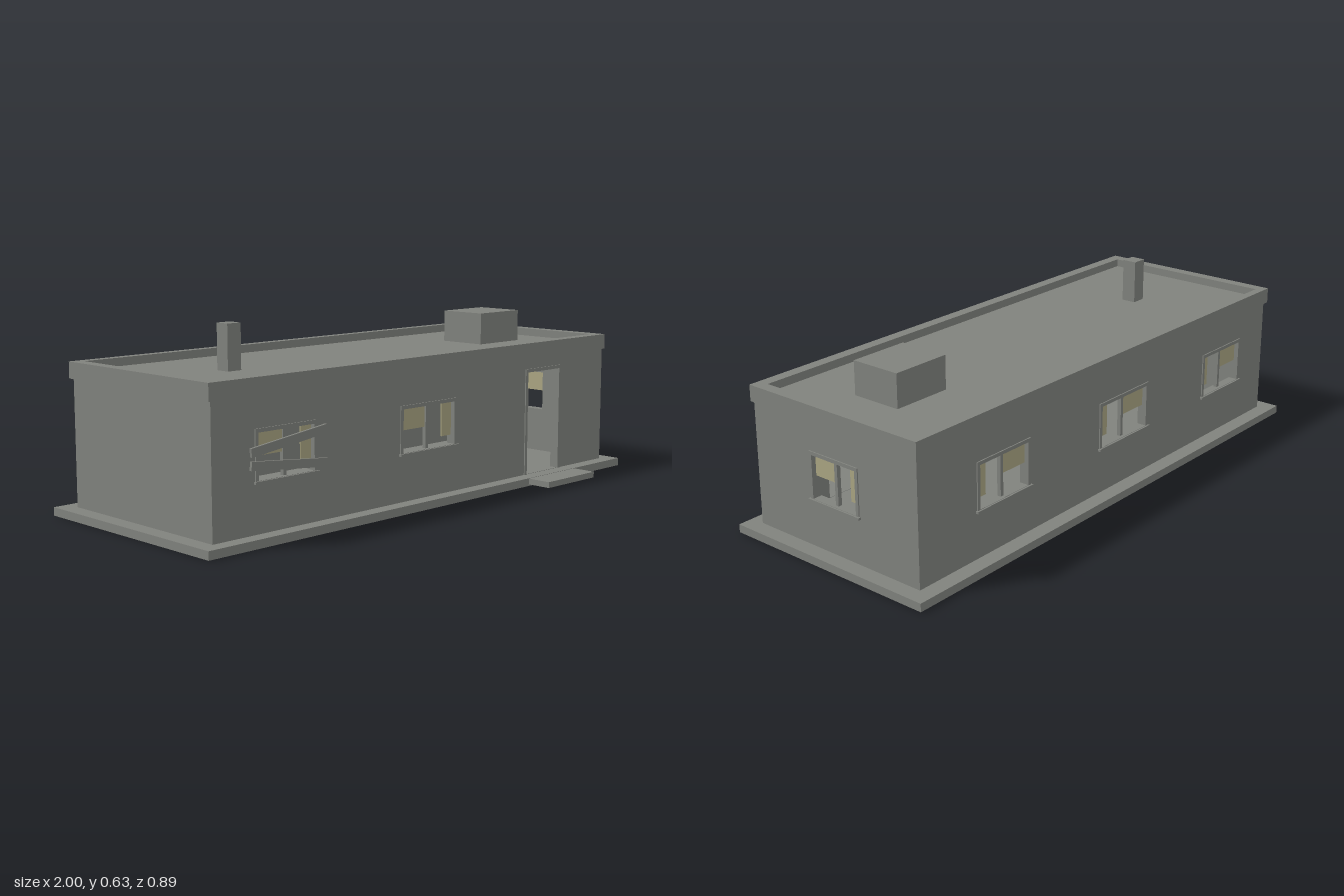
import * as THREE from 'three';

const concrete = new THREE.MeshStandardMaterial({ color: 0x80827d });
concrete.name = 'grey concrete';
const glass = new THREE.MeshStandardMaterial({ color: 0xaaa582 });
glass.name = 'dusty yellow glass';

// Box given by its lower and upper limits on each axis
function box(name, x0, x1, y0, y1, z0, z1, material = concrete) {
  const mesh = new THREE.Mesh(new THREE.BoxGeometry(x1 - x0, y1 - y0, z1 - z0), material);
  mesh.position.set((x0 + x1) / 2, (y0 + y1) / 2, (z0 + z1) / 2);
  mesh.name = name;
  return mesh;
}

function rect(Type, x0, x1, y0, y1) {
  const s = new Type();
  s.moveTo(x0, y0);
  s.lineTo(x1, y0);
  s.lineTo(x1, y1);
  s.lineTo(x0, y1);
  s.closePath();
  return s;
}

// Flat plate with rectangular holes, extruded along +z
function plate(name, outline, holes, depth) {
  const shape = rect(THREE.Shape, ...outline);
  holes.forEach((h) => shape.holes.push(rect(THREE.Path, ...h)));
  const mesh = new THREE.Mesh(new THREE.ExtrudeGeometry(shape, { depth, bevelEnabled: false }), concrete);
  mesh.name = name;
  return mesh;
}

const WIN_Y0 = 0.185, WIN_Y1 = 0.35, FRAME = 0.012;
const FLOOR = 0.028, WALL_TOP = 0.455, THICK = 0.03;

// Framed window with a mullion and two broken panes; faces +z with z = 0 on the wall face
function windowUnit(name, width, mirrored) {
  const g = new THREE.Group();
  g.name = name;
  const h = width / 2, inner = h - FRAME, top = WIN_Y1 - FRAME;
  const frame = plate('windowFrame', [-h, h, WIN_Y0, WIN_Y1], [[-inner, inner, WIN_Y0 + 0.007, top]], THICK + 0.004);
  frame.position.z = -THICK;
  g.add(frame);
  g.add(box('mullion', -0.006, 0.006, WIN_Y0 + 0.005, top, -0.022, -0.008));
  g.add(box('sill', -h - 0.005, h + 0.005, 0.183, 0.191, -0.01, 0.01));
  const pane = (x0, x1, y0) => {
    const [a, b] = mirrored ? [-x1, -x0] : [x0, x1];
    g.add(box('brokenPane', a, b, y0, top, -0.017, -0.013, glass));
  };
  pane(-inner, -0.006, 0.265);
  pane(inner * 0.62, inner, 0.222);
  return g;
}

export function createModel() {
  const model = new THREE.Group();
  model.name = 'abandonedBungalow';

  // Ground slab and door step
  model.add(box('foundation', -1, 1, 0, FLOOR, -0.445, 0.355));
  model.add(box('doorStep', 0.455, 0.72, 0.006, 0.027, 0.355, 0.445));

  // Walls: windows are [centre, width] along each wall's own x
  const frontWindows = [[-0.655, 0.25], [-0.02, 0.274]];
  const backWindows = [[-0.565, 0.25], [0.057, 0.274], [0.66, 0.25]];
  const sideWindows = [[0.0435, 0.21]];
  const walls = [
    { name: 'front', half: 0.945, x: 0, z: 0.305, turn: 0, windows: frontWindows, door: true },
    { name: 'back', half: 0.945, x: 0, z: -0.39, turn: Math.PI, windows: backWindows },
    { name: 'left', half: 0.3175, x: 0.945, z: -0.0425, turn: Math.PI / 2, windows: sideWindows },
    { name: 'right', half: 0.3175, x: -0.945, z: -0.0425, turn: -Math.PI / 2, windows: [] },
  ];
  for (const w of walls) {
    const g = new THREE.Group();
    g.name = w.name + 'Side';
    g.position.set(w.x, 0, w.z);
    g.rotation.y = w.turn;
    const shift = w.name === 'left' ? -0.0425 : 0;
    const holes = w.windows.map(([c, s]) => [c + shift - s / 2, c + shift + s / 2, WIN_Y0, WIN_Y1]);
    if (w.door) holes.push([0.49, 0.69, FLOOR + 0.001, 0.41]);
    const wall = plate(w.name + 'Wall', [-w.half, w.half, FLOOR, WALL_TOP], holes, THICK);
    wall.position.z = -THICK;
    g.add(wall);
    for (const [c, s] of w.windows) {
      const unit = windowUnit('window', s, w.name === 'back');
      unit.position.x = c + shift;
      g.add(unit);
    }
    model.add(g);
  }

  // Door frame and open door leaf
  for (const [x0, x1] of [[0.488, 0.5], [0.68, 0.692]]) {
    model.add(box('doorJamb', x0, x1, FLOOR, 0.412, 0.275, 0.309));
  }
  model.add(box('doorHead', 0.5, 0.68, 0.4, 0.412, 0.275, 0.309));
  const door = new THREE.Group();
  door.name = 'openDoor';
  door.add(box('doorLeaf', 0, 0.175, 0.031, 0.396, -0.006, 0.006));
  door.position.set(0.5, 0, 0.285);
  door.rotation.y = 1.29;
  model.add(door);

  // Roof deck with raised parapet
  model.add(box('roofDeck', -0.92, 0.92, 0.45, 0.477, -0.375, 0.275));
  const parapet = plate('parapet', [-0.955, 0.955, -0.31, 0.4], [[-0.915, 0.915, -0.27, 0.37]], 0.055);
  parapet.rotation.x = -Math.PI / 2;
  parapet.position.y = 0.45;
  model.add(parapet);

  // Roof fittings
  model.add(box('chimney', -0.62, -0.565, 0.47, 0.63, -0.063, -0.01));
  model.add(box('roofVent', 0.545, 0.76, 0.47, 0.592, -0.137, 0.045));

  // Planks nailed across the first front window
  for (const [y, tilt] of [[0.302, 0.128], [0.229, -0.094]]) {
    const plank = box('plank', -0.81, -0.503, y - 0.014, y + 0.014, 0.316, 0.325);
    plank.rotation.z = tilt;
    model.add(plank);
  }
  return model;
}
